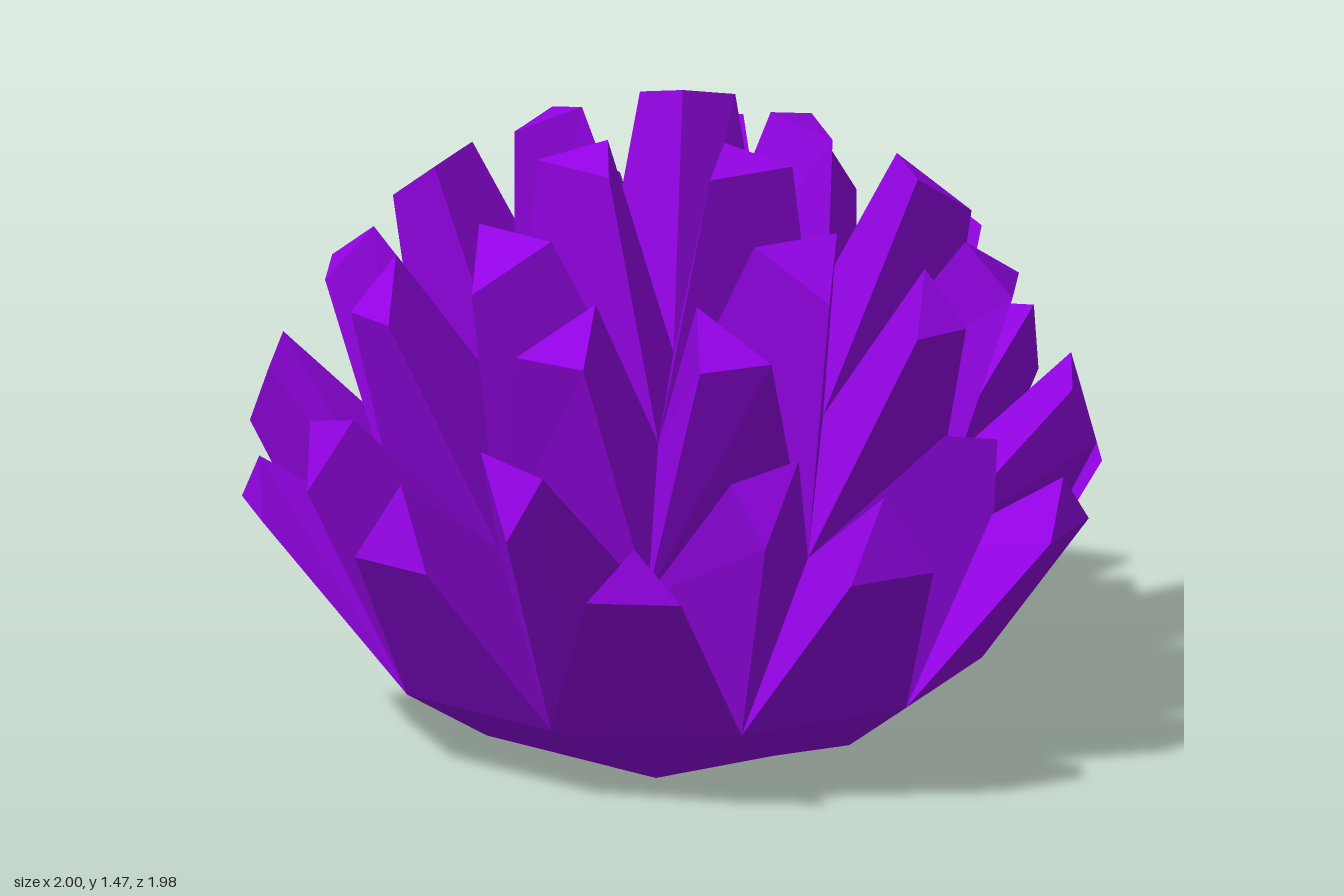
import * as THREE from 'three';

const R = 0.72, CENTRE = new THREE.Vector3(0, 0.18, 0);
const RISE = 0.3, PUSH = 0.329;

// point at a compass angle (degrees), radius and height
function at(deg, radius, y) {
  const a = THREE.MathUtils.degToRad(deg);
  return new THREE.Vector3(Math.cos(a) * radius, y, Math.sin(a) * radius);
}

// rings of the faceted dome
const pole = at(0, 0, 0.18 + R);
const upper = d => at(d, R * 0.5257, 0.18 + R * 0.8507);
const corner = d => at(d, R * 0.8944, 0.18 + R * 0.4472);
const middle = d => at(d, R * 0.8507, 0.18 + R * 0.5257);
const equator = d => at(d, R, 0.18);

// orders a triangle so that it faces away from the dome centre
function outward(a, b, c) {
  const n = b.clone().sub(a).cross(c.clone().sub(a));
  const mid = a.clone().add(b).add(c).divideScalar(3).sub(CENTRE);
  return n.dot(mid) < 0 ? [a, c, b] : [a, b, c];
}

// separate triangles, so every facet gets its own flat normal
function meshFrom(points, material, name) {
  const geometry = new THREE.BufferGeometry().setFromPoints(points);
  geometry.computeVertexNormals();
  const mesh = new THREE.Mesh(geometry, material);
  mesh.name = name;
  return mesh;
}

// tapered shard grown from one dome facet; the first corner is its apex
function crystal(a, b, c, height, material, name) {
  const centroid = a.clone().add(b).add(c).divideScalar(3);
  const edgeMid = b.clone().add(c).multiplyScalar(0.5);
  const [p, q, r] = outward(a, b, c);
  const move = q.clone().sub(p).cross(r.clone().sub(p)).normalize().multiplyScalar(PUSH);
  move.y += RISE;
  const topOf = v => {
    const line = v === a ? a : edgeMid;
    const t = centroid.clone().addScaledVector(line.clone().sub(centroid), height);
    if (v !== a) t.addScaledVector(v.clone().sub(edgeMid), 0.5);
    return t.add(move);
  };
  const base = [p, q, r], top = base.map(topOf), points = [...top];
  for (let i = 0; i < 3; i++) {
    const j = (i + 1) % 3;
    points.push(base[i], base[j], top[j], base[i], top[j], top[i]);
  }
  return meshFrom(points, material, name);
}

export function createModel() {
  const group = new THREE.Group();
  group.name = 'crystalCluster';
  const purple = new THREE.MeshStandardMaterial({ color: 0x9303e4 });
  purple.name = 'amethystPurple';

  const add = (a, b, c, height, name) => group.add(crystal(a, b, c, height, purple, name));

  // five repeating sectors of crystals
  for (let k = 0; k < 5; k++) {
    const d = k * 72;
    add(pole, upper(d), upper(d + 72), 0.4, 'crownCrystal');
    add(middle(d + 36), upper(d), upper(d + 72), 0.5, 'innerCrystal');
    add(middle(d + 36), equator(d + 18), equator(d + 54), 0.5, 'outerCrystal');
    add(corner(d), equator(d - 18), equator(d + 18), 0.4, 'lowCrystal');
    for (const s of [-1, 1]) {
      add(corner(d), upper(d), middle(d + 36 * s), 0.4, 'shoulderCrystal');
      add(corner(d), equator(d + 18 * s), middle(d + 36 * s), 0.4, 'sideCrystal');
    }
  }

  // faceted bowl below the equator
  const foot = i => (i % 2 ? at(i * 36, 0.46, 0.04) : at(i * 36, 0.445, 0));
  const bowl = [];
  for (let i = 0; i < 10; i++) {
    const d = i * 36;
    bowl.push(...outward(foot(i), equator(d - 18), equator(d + 18)));
    bowl.push(...outward(foot(i), foot(i + 1), equator(d + 18)));
  }
  group.add(meshFrom(bowl, purple, 'rockBowl'));

  // bottom: raised pentagon with five low toes, shaded as one face
  const hub = new THREE.Vector3(0, 0.04, 0), bottom = [];
  for (let i = 1; i < 10; i += 2) {
    bottom.push(hub, foot(i), foot(i + 2), foot(i), foot(i + 1), foot(i + 2));
  }
  const underside = meshFrom(bottom, purple, 'rockBottom');
  const normals = underside.geometry.attributes.normal;
  for (let i = 0; i < normals.count; i++) normals.setXYZ(i, 0, -1, 0);
  group.add(underside);
  return group;
}
